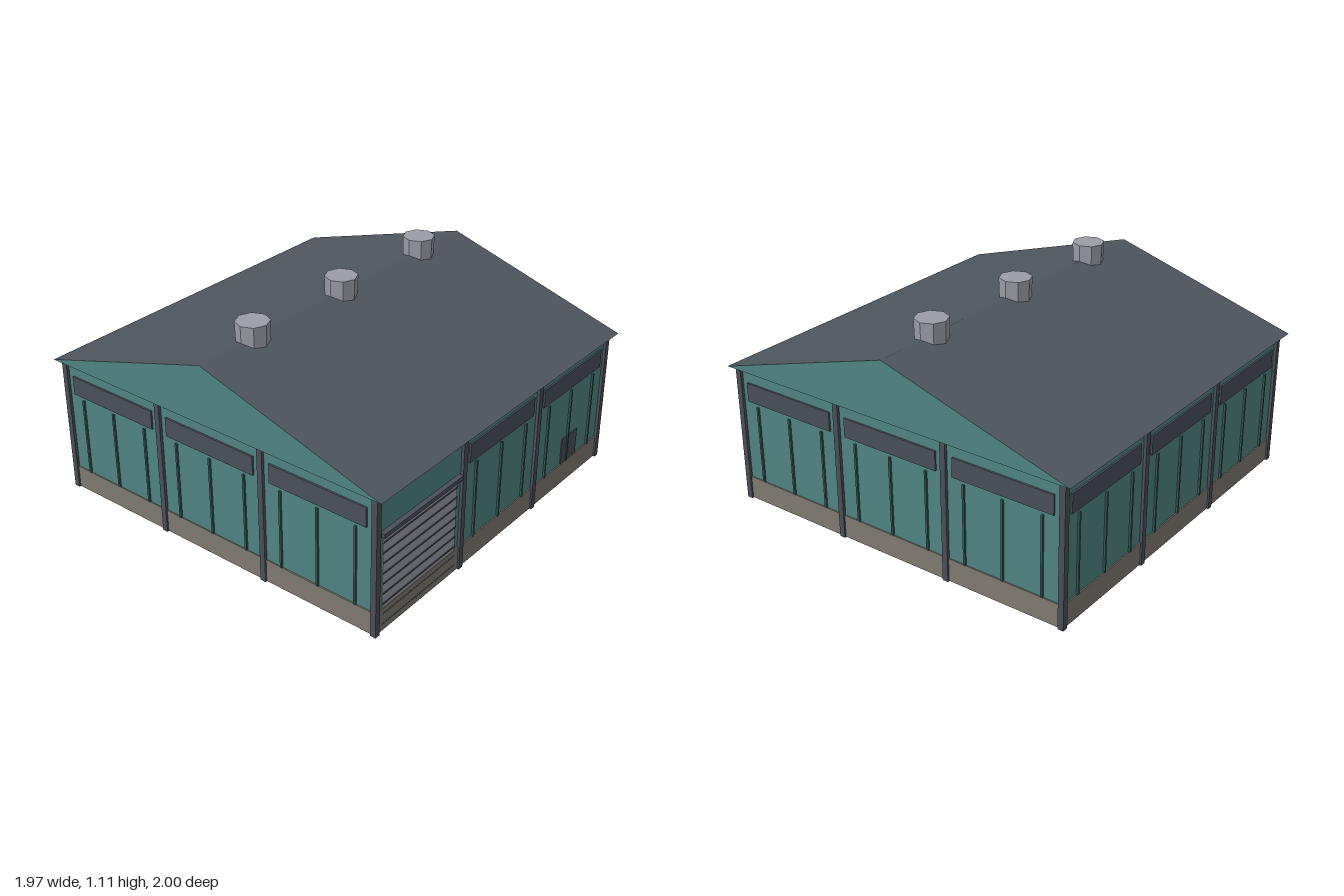
import * as THREE from 'three';

const mat = (name, color) => {
  const m = new THREE.MeshStandardMaterial({ color });
  m.name = name;
  return m;
};

export function createModel() {
  const teal = mat('teal cladding', 0x4f8582);
  const ribTeal = mat('dark teal rib', 0x355756);
  const roofGrey = mat('roof grey', 0x4e565e);
  const slate = mat('slate trim', 0x4a4f59);
  const stone = mat('stone plinth', 0x7f7a71);
  const steel = mat('light steel', 0x9a9da6);

  const model = new THREE.Group();
  model.name = 'warehouse';

  const WALL = 0.95, EAVE = 0.72, RIDGE = 1.02, BAY = WALL * 2 / 3;

  const box = (parent, name, material, w, h, d, x, y, z) => {
    const mesh = new THREE.Mesh(new THREE.BoxGeometry(w, h, d), material);
    mesh.name = name;
    mesh.position.set(x, y, z);
    parent.add(mesh);
    return mesh;
  };

  // Main volume and the plinth around its foot
  box(model, 'walls', teal, WALL * 2, EAVE, WALL * 2, 0, EAVE / 2, 0);
  box(model, 'plinth', stone, 1.912, 0.118, 1.912, 0, 0.061, 0);

  // Roof prism: clad gable ends, grey slopes and soffit
  const gable = new THREE.Shape([
    new THREE.Vector2(-1, EAVE), new THREE.Vector2(1, EAVE), new THREE.Vector2(0, RIDGE)
  ]);
  const roofGeo = new THREE.ExtrudeGeometry(gable, { depth: 1.97, bevelEnabled: false });
  roofGeo.translate(0, 0, -0.985).rotateY(Math.PI / 2);
  const roof = new THREE.Mesh(roofGeo, [teal, roofGrey]);
  roof.name = 'roof';
  model.add(roof);

  // Columns at every bay line around the perimeter
  for (let i = 0; i < 4; i++) {
    for (let j = 0; j < 4; j++) {
      if (i % 3 && j % 3) continue;
      box(model, 'column', slate, 0.03, EAVE, 0.03,
        -WALL + i * BAY, EAVE / 2, -WALL + j * BAY);
    }
  }

  // Each facade has three bays with a window strip and cladding ribs
  const facades = ['front', 'left', 'back', 'right'].map((side, f) => {
    const facade = new THREE.Group();
    facade.name = side + 'Facade';
    facade.rotation.y = f * Math.PI / 2;
    for (let b = -1; b <= 1; b++) {
      if (side === 'front' && b === -1) continue; // shutter bay
      box(facade, 'windowStrip', slate, 0.54, 0.098, 0.009, b * BAY, 0.598, WALL + 0.0045);
      for (const dx of [-0.21, 0, 0.21]) {
        box(facade, 'rib', ribTeal, 0.011, 0.41, 0.012, b * BAY + dx, 0.325, WALL + 0.004);
      }
    }
    model.add(facade);
    return facade;
  });

  // Roller shutter with slat joints and header
  const shutter = new THREE.Group();
  shutter.name = 'rollerShutter';
  box(shutter, 'shutterPanel', steel, 0.545, 0.48, 0.004, -BAY, 0.27, WALL + 0.002);
  for (let i = 0; i < 9; i++) {
    box(shutter, 'slatJoint', slate, 0.545, 0.007, 0.008, -BAY, 0.037 + i * 0.0535, WALL + 0.003);
  }
  box(shutter, 'shutterHeader', slate, 0.58, 0.022, 0.026, -BAY, 0.515, WALL + 0.012);
  facades[0].add(shutter);

  // Personnel door
  box(facades[0], 'door', slate, 0.145, 0.265, 0.012, 0.655, 0.1345, WALL - 0.001);

  // Octagonal vents along the ridge
  for (let i = -1; i <= 1; i++) {
    const vent = new THREE.Mesh(
      new THREE.CylinderGeometry(0.083, 0.079, 0.13, 8).toNonIndexed(), steel);
    vent.geometry.computeVertexNormals();
    vent.name = 'ridgeVent';
    vent.position.set(i * 0.635, 1.04, 0);
    model.add(vent);
  }

  return model;
}
